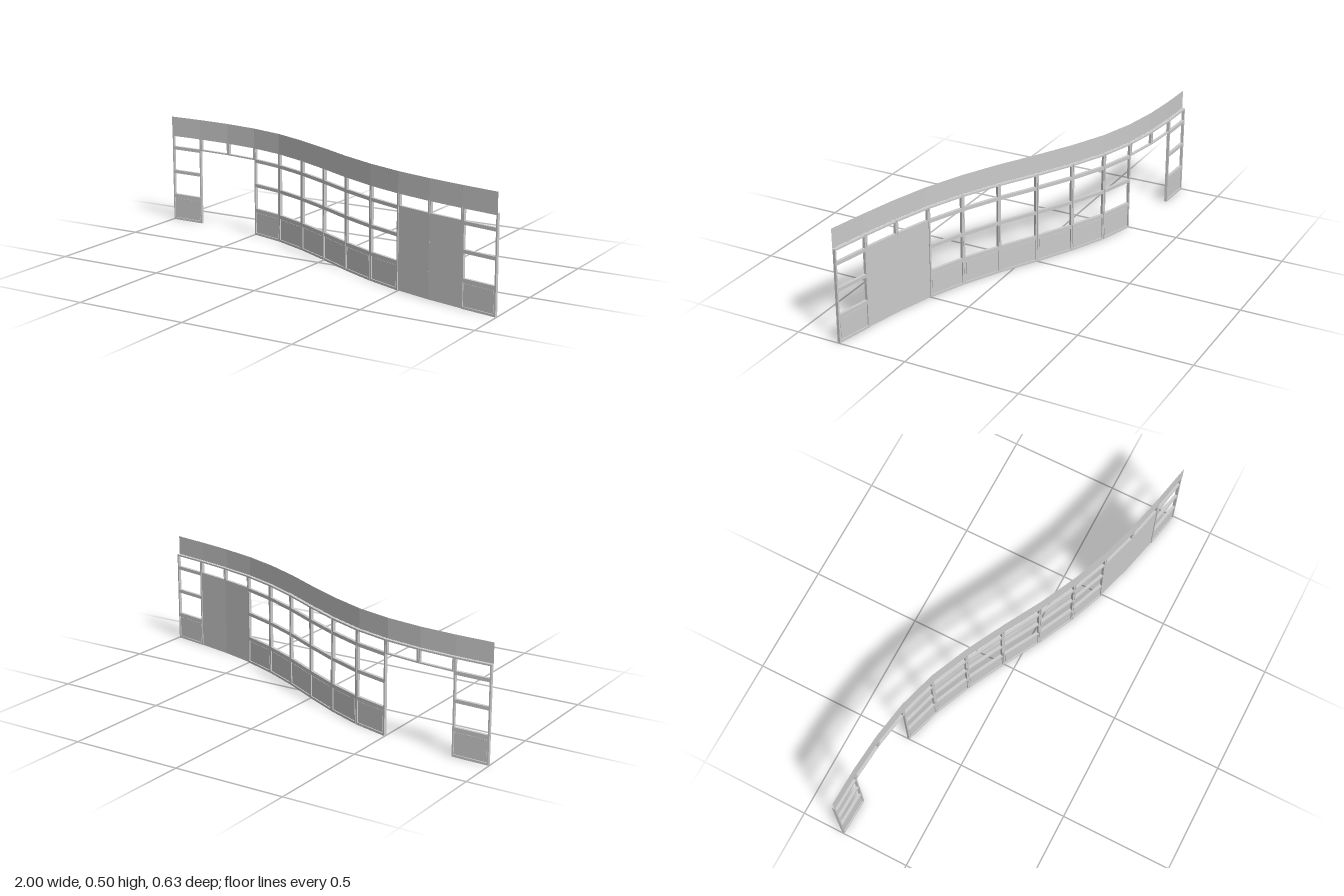
import * as THREE from 'three';

// Plan line of the wall: equal steps in x, one z per bay joint
const Z = [-0.309, -0.304, -0.29, -0.262, -0.213, -0.14, -0.053, 0.04, 0.121, 0.186, 0.235, 0.274, 0.308];
const NODES = Z.map((z, i) => new THREE.Vector2(-0.998 + i * 0.1663, z));
const DEPTH = 0.013;
const POST = 0.007;
const TOP = 0.414;
const HEAD = 0.352; // underside of the transom over the doorways

const material = new THREE.MeshStandardMaterial({ color: 0xcccccc, side: THREE.DoubleSide });

function addBox(parent, name, width, y0, y1, depth, x = 0) {
  const mesh = new THREE.Mesh(new THREE.BoxGeometry(width, y1 - y0, depth), material);
  mesh.position.set(x, (y0 + y1) / 2, 0);
  mesh.name = name;
  parent.add(mesh);
}

// One straight bay: 'window', 'opening' or 'door'
function makeBay(a, b, type) {
  const bay = new THREE.Group();
  const dir = b.clone().sub(a);
  const length = dir.length() - 0.001;
  const inner = length - 2 * POST;
  const isWindow = type === 'window';
  bay.name = type + 'Bay';
  bay.position.set((a.x + b.x) / 2, 0, (a.y + b.y) / 2);
  bay.rotation.y = -Math.atan2(dir.y, dir.x);

  // Posts and rails
  for (const side of [-1, 1])
    addBox(bay, 'post', POST, isWindow ? 0 : HEAD, TOP, DEPTH, side * (length - POST) / 2);
  const rails = isWindow
    ? [[0, 0.01], [0.109, 0.125], [0.227, 0.242], [0.342, 0.357], [0.407, TOP]]
    : [[HEAD, 0.358], [0.407, TOP]];
  for (const [y0, y1] of rails) addBox(bay, 'rail', inner, y0, y1, DEPTH);

  // Lower panel with a raised field, or a full door leaf
  if (isWindow) {
    addBox(bay, 'lowerPanel', inner, 0.01, 0.109, 0.003);
    addBox(bay, 'panelField', inner - 0.012, 0.015, 0.104, 0.006);
  }
  if (type === 'door') addBox(bay, 'doorLeaf', length + 0.001, 0, HEAD, 0.006);
  return bay;
}

// Thin fascia band that follows the front face of the wall
function makeFascia() {
  const points = NODES.map((p, i) => {
    const t = NODES[Math.min(i + 1, 12)].clone().sub(NODES[Math.max(i - 1, 0)]).normalize();
    return new THREE.Vector2(p.x - t.y * 0.0075, p.y + t.x * 0.0075);
  });
  const positions = [];
  for (let i = 0; i < points.length - 1; i++) {
    const a = points[i], b = points[i + 1];
    const corner = (p, y) => [p.x, y, p.y];
    positions.push(
      ...corner(a, TOP), ...corner(b, TOP), ...corner(b, 0.5),
      ...corner(a, TOP), ...corner(b, 0.5), ...corner(a, 0.5));
  }
  const geometry = new THREE.BufferGeometry();
  geometry.setAttribute('position', new THREE.Float32BufferAttribute(positions, 3));
  geometry.computeVertexNormals();
  const mesh = new THREE.Mesh(geometry, material);
  mesh.name = 'fascia';
  return mesh;
}

export function createModel() {
  const model = new THREE.Group();
  model.name = 'curvedPartitionWall';
  for (let i = 0; i < 12; i++) {
    const type = i === 1 || i === 2 ? 'opening' : i === 9 || i === 10 ? 'door' : 'window';
    model.add(makeBay(NODES[i], NODES[i + 1], type));
  }
  model.add(makeFascia());
  return model;
}
